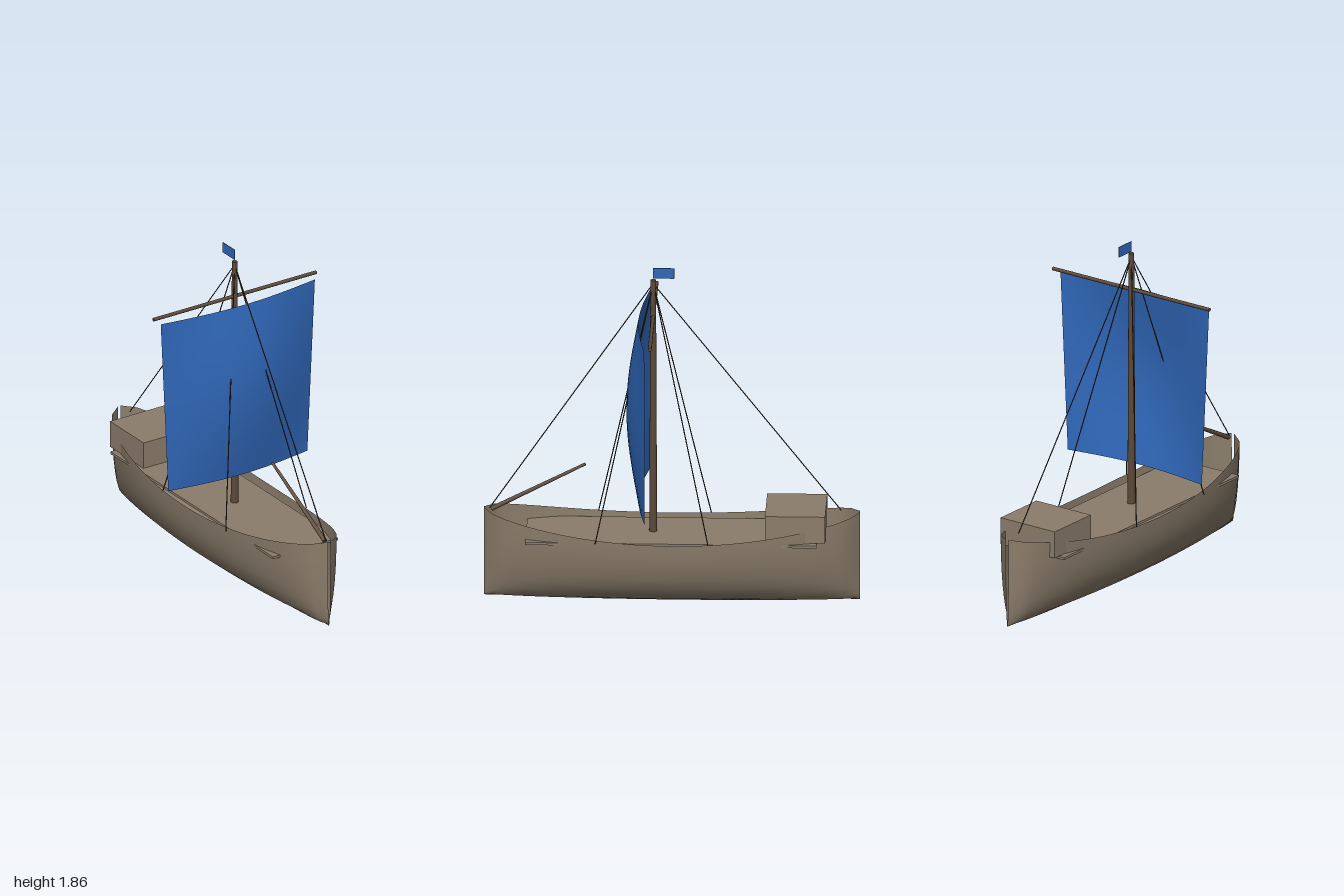
import * as THREE from 'three';

const mat = (name, color, side = THREE.FrontSide) => {
  const m = new THREE.MeshStandardMaterial({ color, side });
  m.name = name;
  return m;
};

// Sheet shaped by a rule: u and v run from 0 to 1
function sheet(uSegs, vSegs, rule) {
  const geo = new THREE.PlaneGeometry(1, 1, uSegs, vSegs);
  const p = geo.attributes.position;
  for (let i = 0; i < p.count; i++) {
    p.setXYZ(i, ...rule(p.getX(i) + 0.5, p.getY(i) + 0.5));
  }
  geo.computeVertexNormals();
  return geo;
}

export function createModel() {
  const model = new THREE.Group();
  model.name = 'sailingShip';

  const timber = mat('weatheredTimber', 0x8b7d6b);
  const hullTimber = mat('hullTimber', 0x8b7d6b, THREE.DoubleSide);
  const spar = mat('darkSpar', 0x5c4a3a);
  const rope = mat('rope', 0x3c342b);
  const cloth = mat('blueCloth', 0x3068ba, THREE.DoubleSide);

  const add = (name, geo, material, x = 0, y = 0, z = 0) => {
    const mesh = new THREE.Mesh(geo, material);
    mesh.name = name;
    mesh.position.set(x, y, z);
    model.add(mesh);
    return mesh;
  };

  // Round pole between two points
  const pole = (name, from, to, r0, r1, material, sides = 10) => {
    const a = new THREE.Vector3(...from), b = new THREE.Vector3(...to);
    const dir = b.clone().sub(a);
    const mesh = add(name, new THREE.CylinderGeometry(r1, r0, dir.length(), sides), material);
    mesh.position.copy(a).add(b).multiplyScalar(0.5);
    mesh.quaternion.setFromUnitVectors(new THREE.Vector3(0, 1, 0), dir.normalize());
  };

  // Open hull shell: full sections, elliptical plan, rising sheer, narrow slit at each end
  add('hull', sheet(40, 16, (u, v) => {
    const z = u * 2 - 1;
    const half = Math.max(0.008, 0.26 * Math.sqrt(Math.max(0, 1 - z * z)));
    const sheer = 0.38 + 0.115 * z * z;
    const c = Math.cos(v * Math.PI);
    return [
      half * Math.sign(c) * Math.abs(c) ** 0.85,
      sheer * (1 - Math.sin(v * Math.PI)),
      z,
    ];
  }), hullTimber);

  // Deck and stern cabin
  add('deck', new THREE.BoxGeometry(0.416, 0.014, 1.55), timber, 0, 0.365, 0);
  add('sternCabin', new THREE.BoxGeometry(0.36, 0.15, 0.32), timber, 0, 0.45, -0.66);

  // Mast, yard and raked bow spar
  pole('mast', [0, 0.37, 0.1], [0, 1.79, 0.1], 0.021, 0.015, spar, 12);
  pole('yard', [-0.52, 1.585, 0.1], [0.52, 1.585, 0.1], 0.01, 0.01, spar);
  pole('bowSpar', [0, 0.485, 0.96], [0, 0.745, 0.46], 0.013, 0.008, spar);

  // Square sail, bellied forward and narrowing toward the foot
  add('sail', sheet(16, 16, (u, v) => {
    const s = u * 2 - 1;
    const belly = Math.cos(s * Math.PI / 2) * (0.048 + 0.064 * Math.sin(v * Math.PI));
    return [s * (0.445 + 0.048 * v), 0.565 + 0.997 * v, 0.13 + belly];
  }), cloth);

  // Masthead flag
  add('flag', new THREE.BoxGeometry(0.004, 0.058, 0.112), cloth, 0, 1.828, 0.044);

  // Standing rigging
  const head = [0, 1.77, 0.1];
  pole('forestay', [0, 0.49, 0.97], head, 0.003, 0.003, rope, 6);
  pole('backstay', [0, 0.5, -0.9], head, 0.003, 0.003, rope, 6);
  for (const side of [1, -1]) {
    for (const z of [0.4, -0.2]) {
      pole('shroud', [side * 0.258, 0.385, z], head, 0.003, 0.003, rope, 6);
    }
  }

  return model;
}
